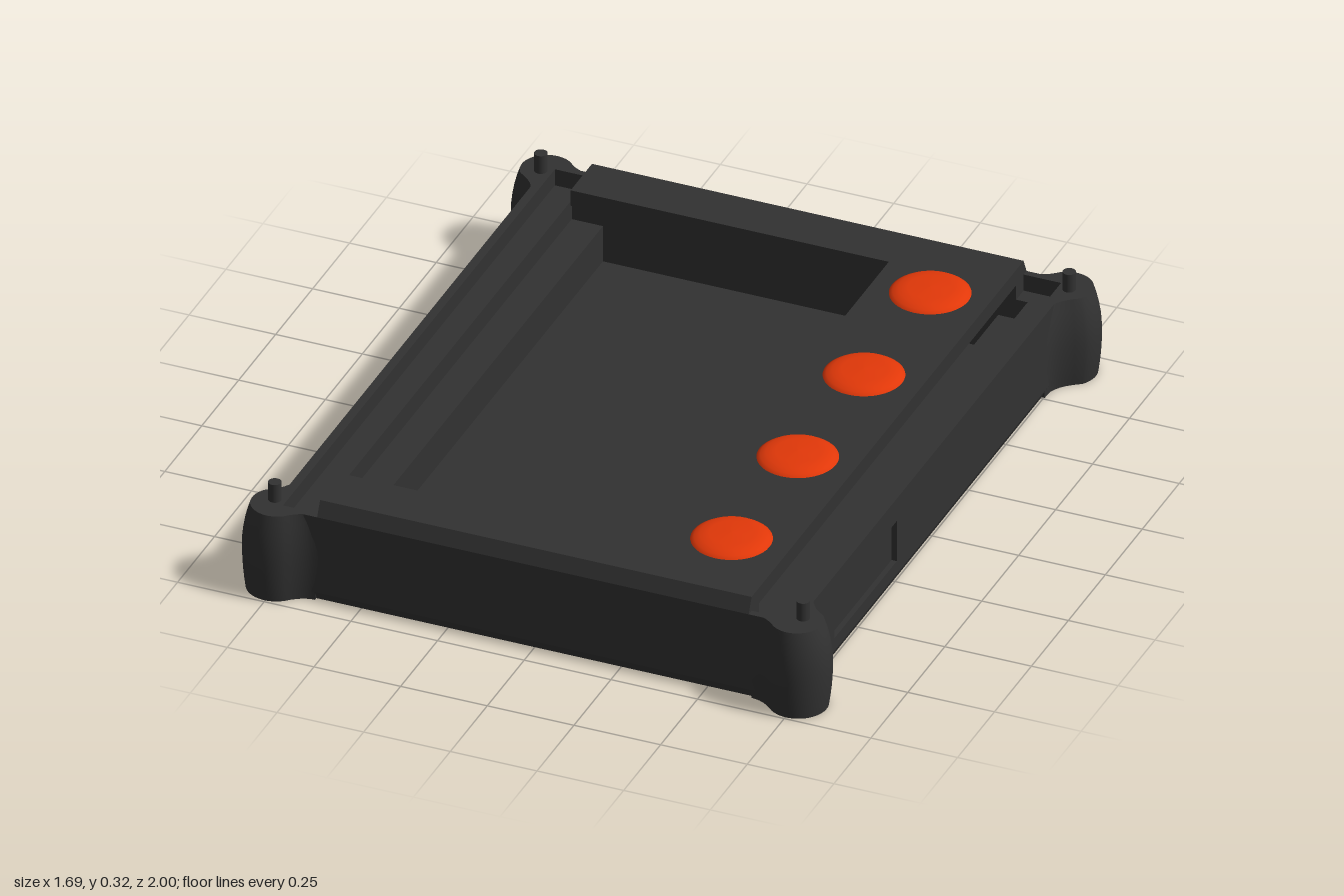
import * as THREE from 'three';
import { toCreasedNormals } from 'three/addons/utils/BufferGeometryUtils.js';

const W = 0.73, D = 0.92;          // inner half width and depth of the case
const OW = 0.755, OD = 0.94;       // outer half width and depth
const V = (x, y) => new THREE.Vector2(x, y);

// Rectangle with optional cut corners
function rect(x0, x1, y0, y1, c = 0) {
  if (!c) return [V(x0, y0), V(x1, y0), V(x1, y1), V(x0, y1)];
  return [V(x0 + c, y0), V(x1 - c, y0), V(x1, y0 + c), V(x1, y1 - c),
    V(x1 - c, y1), V(x0 + c, y1), V(x0, y1 - c), V(x0, y0 + c)];
}

function extrude(points, depth, holes = [], steps = 1) {
  const shape = new THREE.Shape(points);
  holes.forEach(h => shape.holes.push(new THREE.Path(h)));
  return new THREE.ExtrudeGeometry(shape, { depth, steps, bevelEnabled: false });
}

// Horizontal slab: outline in x and z, from y0 up to y1
function slab(points, y0, y1, holes = [], steps = 1) {
  return extrude(points, y1 - y0, holes, steps).rotateX(Math.PI / 2).translate(0, y1, 0);
}

function box(x0, x1, y0, y1, z0, z1) {
  return new THREE.BoxGeometry(x1 - x0, y1 - y0, z1 - z0)
    .translate((x0 + x1) / 2, (y0 + y1) / 2, (z0 + z1) / 2);
}

// Rounded corner bumper that flows into both walls and bulges at mid height
function bumperGeometry(sx, sz) {
  const cx = OW, cz = 0.91, r = 0.09;
  const a0 = -38 * Math.PI / 180, a1 = 128 * Math.PI / 180;
  const at = a => V(cx + r * Math.cos(a), cz + r * Math.sin(a));
  const pts = [V(W, 0.74), V(OW, 0.74)];
  pts.push(...new THREE.QuadraticBezierCurve(V(OW, 0.76), V(OW, 0.81), at(a0)).getPoints(6));
  for (let i = 1; i < 20; i++) pts.push(at(a0 + (a1 - a0) * i / 20));
  pts.push(...new THREE.QuadraticBezierCurve(at(a1), V(0.66, OD), V(0.62, OD)).getPoints(6));
  pts.push(V(0.62, D), V(W, D));
  const geo = slab(pts.map(p => V(p.x * sx, p.y * sz)), 0, 0.26, [], 10);
  const pos = geo.attributes.position;
  for (let i = 0; i < pos.count; i++) {
    const t = (pos.getY(i) - 0.13) / 0.13;
    const f = 1 - (t > 0 ? 0.2 : 0.09) * t * t;
    pos.setX(i, sx * (W + (pos.getX(i) * sx - W) * f));
    pos.setZ(i, sz * (D + (pos.getZ(i) * sz - D) * f));
  }
  return toCreasedNormals(geo, 0.6);
}

export function createModel() {
  const model = new THREE.Group();
  model.name = 'handheldCase';
  const charcoal = new THREE.MeshStandardMaterial({ color: 0x323232 });
  charcoal.name = 'charcoal';
  const orange = new THREE.MeshStandardMaterial({ color: 0xe23809 });
  orange.name = 'orange';
  const add = (name, geo, mat = charcoal) => {
    const mesh = new THREE.Mesh(geo, mat);
    mesh.name = name;
    model.add(mesh);
    return mesh;
  };

  // Bottom plate, drawn in slightly at its lower edge
  const base = box(-OW, OW, 0, 0.025, -OD, OD);
  const bp = base.attributes.position;
  for (let i = 0; i < bp.count; i++) {
    if (bp.getY(i) < 0.01) bp.setXYZ(i, bp.getX(i) * 0.985, 0, bp.getZ(i) * 0.988);
  }
  base.computeVertexNormals();
  add('bottomPlate', base);

  // Stepped interior: floor, side ledges beside the well, upper ledge
  const outline = rect(-W, W, -D, D);
  add('wellFloor', box(-W, W, 0.02, 0.04, -D, D));
  add('lowerLedge', slab(outline, 0.04, 0.15, [rect(-0.57, 0.57, -0.87, 0.87)]));
  add('upperLedge', slab(outline, 0.15, 0.21, [rect(-0.66, 0.655, -0.87, 0.87)]));

  // Outer walls: hatch opening on the left wall, two ports in the back wall
  add('rightWall', box(-OW, -W, 0.025, 0.26, -OD, OD));
  add('frontWall', box(-W, W, 0.025, 0.26, D, OD));
  add('leftWall', extrude(rect(-OD, OD, 0.025, 0.26), OW - W, [rect(-0.67, -0.25, 0.065, 0.19)])
    .rotateY(Math.PI / 2).translate(W, 0, 0));
  add('hatch', box(W, OW - 0.015, 0.065, 0.19, 0.25, 0.67));
  add('backWall', extrude(rect(-W, W, 0.025, 0.26), OD - D,
    [rect(0.1, 0.4, 0.185, 0.22, 0.008), rect(-0.49, -0.32, 0.165, 0.23, 0.022)])
    .translate(0, 0, -OD));

  // Cover bars overhanging the well, with a sloping outer edge and a foot on the ledge
  const profile = [[0.775, 0.255], [0.87, 0.255], [0.87, 0.21], [D, 0.21], [D, 0.26],
    [OD, 0.26], [0.92, 0.303], [0.775, 0.303]];
  for (const s of [1, -1]) {
    const geo = extrude(profile.map(([z, y]) => V(-z * s, y)), 1.245)
      .rotateY(Math.PI / 2).translate(-0.623, 0, 0);
    add(s > 0 ? 'frontBar' : 'backBar', geo);
  }

  // Button bar and its four domed buttons
  add('buttonBar', box(0.295, 0.622, 0.255, 0.303, -0.775, 0.775));
  const dome = new THREE.LatheGeometry([V(0.112, 0.295), V(0.11, 0.303), V(0.1, 0.31),
    V(0.085, 0.317), V(0.06, 0.321), V(0, 0.323)], 40);
  for (let i = 0; i < 4; i++) {
    add('button' + (i + 1), dome, orange).position.set(0.457, 0, -0.675 + i * 0.448);
  }

  // Corner bumpers with locating pegs
  const peg = new THREE.CylinderGeometry(0.018, 0.018, 0.065, 20);
  for (const sx of [1, -1]) for (const sz of [1, -1]) {
    const corner = (sz > 0 ? 'front' : 'back') + (sx > 0 ? 'Left' : 'Right');
    add(corner + 'Bumper', bumperGeometry(sx, sz));
    add(corner + 'Peg', peg).position.set(sx * 0.762, 0.2825, sz * 0.9);
  }
  return model;
}
